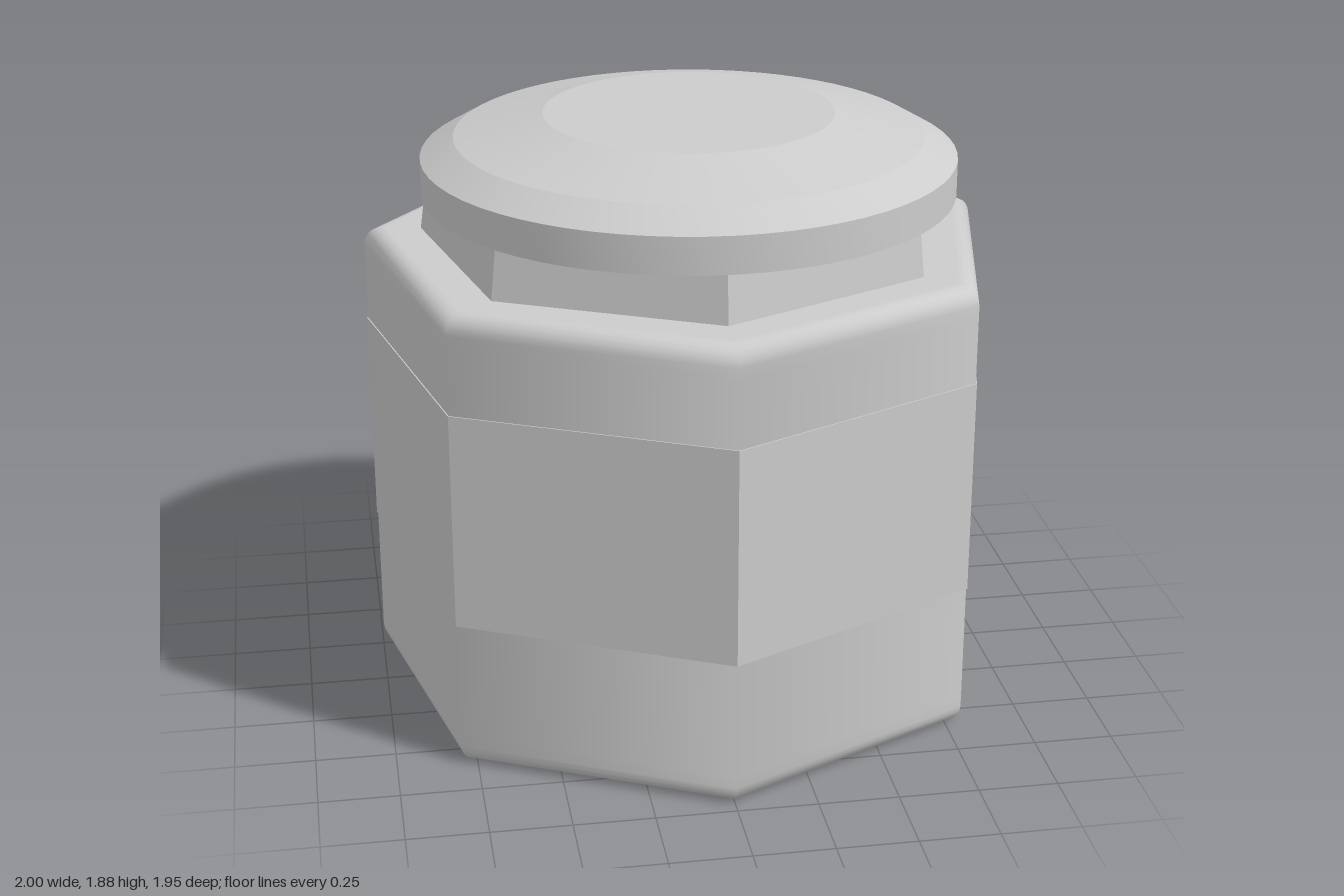
import * as THREE from 'three';
import { toCreasedNormals } from 'three/addons/utils/BufferGeometryUtils.js';

const SIDES = 7;
const CENTRE_Z = -0.05;

// Turns [radius, height] pairs, listed from bottom to top, into a lathe.
function turned(profile, segments) {
  return new THREE.LatheGeometry(profile.map(([r, y]) => new THREE.Vector2(r, y)), segments);
}

// Quarter-round edge between a flat end and the wall.
function roundedEdge(radius, y, bevel, from, to) {
  return Array.from({ length: 6 }, (_, i) => {
    const a = THREE.MathUtils.lerp(from, to, i / 5);
    return [radius - bevel + bevel * Math.cos(a), y + bevel * Math.sin(a)];
  });
}

export function createModel() {
  const model = new THREE.Group();
  model.name = 'jar';
  const grey = new THREE.MeshStandardMaterial({ color: 0xcccccc });
  grey.name = 'plain grey';

  function add(name, geometry, x = 0, z = CENTRE_Z) {
    const mesh = new THREE.Mesh(geometry, grey);
    mesh.name = name;
    mesh.position.set(x, 0, z);
    model.add(mesh);
  }

  // Seven-sided body, softly shaded, with rounded top and bottom edges
  const radius = 1.022, height = 1.485, bevel = 0.06;
  add('body', turned([
    [0, 0], [radius - bevel - 0.01, 0],
    ...roundedEdge(radius, bevel, bevel, -Math.PI / 2, 0),
    [radius, 0.1], [radius, height - 0.1],
    ...roundedEdge(radius, height - bevel, bevel, 0, Math.PI / 2),
    [radius - bevel - 0.01, height], [0, height],
  ], SIDES));

  // Flat-faced label wrapped around the middle of the body
  add('label', toCreasedNormals(turned([
    [radius - 0.001, 0.48], [1.026, 0.48], [1.026, 1.175], [radius - 0.001, 1.175],
  ], SIDES), 0.2));

  // Tapered seven-sided neck
  add('neck', toCreasedNormals(turned([
    [0.84, height - 0.02], [0.815, 1.65],
  ], SIDES), 0.2));

  // Round lid with two sloping steps, set slightly off centre
  add('lid', toCreasedNormals(turned([
    [0, 1.64], [0.84, 1.64], [0.84, 1.757], [0.735, 1.818], [0.455, 1.885], [0, 1.885],
  ], 64), 0.17), 0.02, -0.055);

  return model;
}
